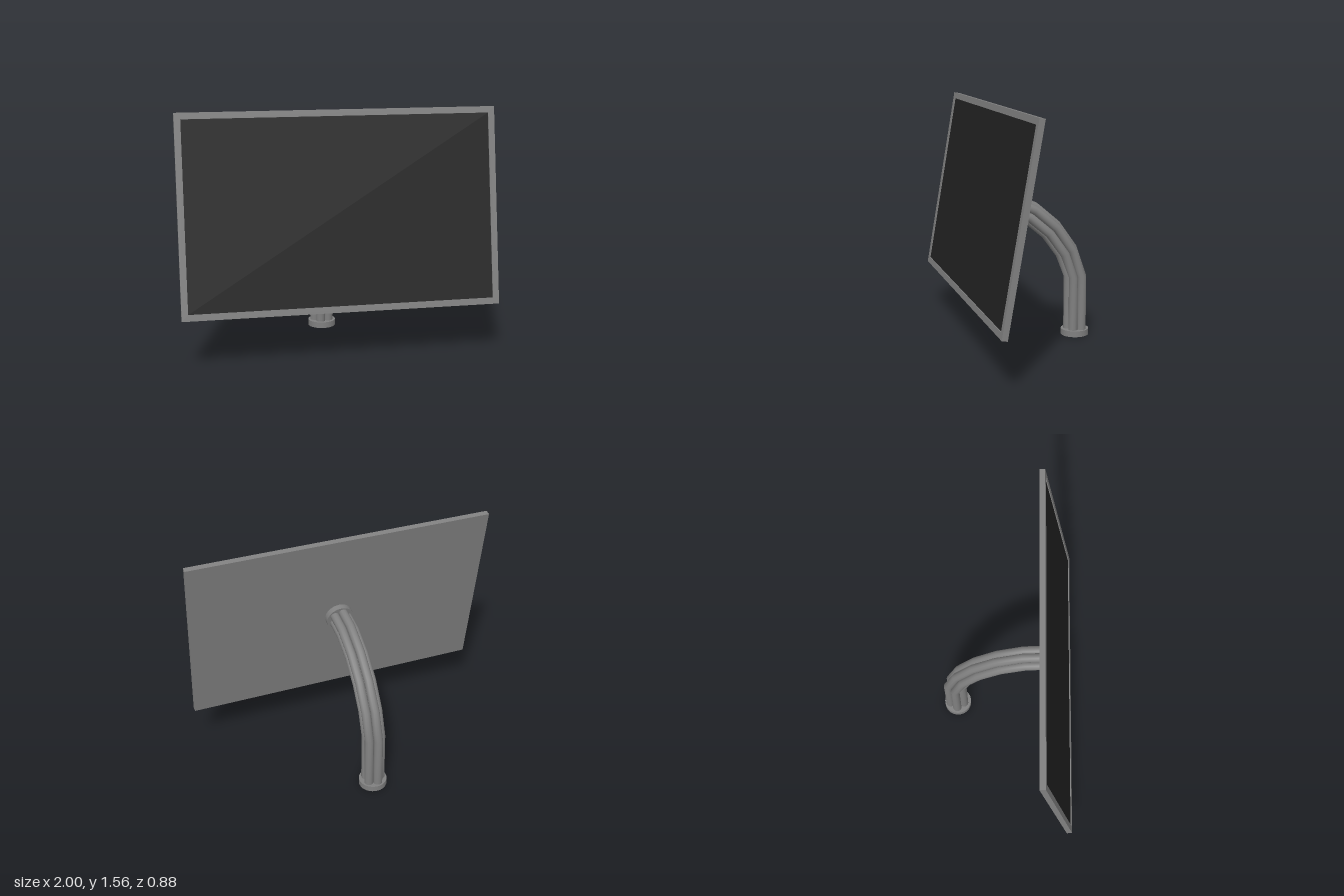
import * as THREE from 'three';

const DEG = Math.PI / 180;
const grey = new THREE.MeshStandardMaterial({ color: 0x808080 });
const black = new THREE.MeshStandardMaterial({ color: 0x222222 });

function add(parent, name, geometry, material, x = 0, y = 0, z = 0) {
  const mesh = new THREE.Mesh(geometry, material);
  mesh.name = name;
  mesh.position.set(x, y, z);
  parent.add(mesh);
  return mesh;
}

// Arm centre line: z, y and lean of the path from vertical towards the front
const ARM = [
  [-0.352, 0.02, 0], [-0.352, 0.4, 2], [-0.29, 0.57, 23], [-0.181, 0.722, 40],
  [-0.042, 0.84, 55], [0.12, 0.917, 70], [0.275, 0.935, 81],
];

// One strand swept along the arm, offset from the centre line by (ox, on)
function strandGeometry(ox, on, radius, sides = 12) {
  const positions = [], index = [];
  ARM.forEach(([z, y, lean], i) => {
    const c = Math.cos(lean * DEG), s = Math.sin(lean * DEG);
    for (let j = 0; j < sides; j++) {
      const a = (j / sides) * Math.PI * 2;
      const n = on + radius * Math.sin(a);
      positions.push(ox + radius * Math.cos(a), y - n * s, z + n * c);
      if (i === 0) continue;
      const k = (j + 1) % sides, lo = (i - 1) * sides, hi = i * sides;
      index.push(lo + j, hi + j, lo + k, lo + k, hi + j, hi + k);
    }
  });
  const g = new THREE.BufferGeometry();
  g.setAttribute('position', new THREE.Float32BufferAttribute(positions, 3));
  g.setIndex(index);
  g.computeVertexNormals();
  return g;
}

function rectangle(Type, w, h) {
  return new Type([[-1, -1], [1, -1], [1, 1], [-1, 1]]
    .map(([x, y]) => new THREE.Vector2(x * w / 2, y * h / 2)));
}

export function createModel() {
  const model = new THREE.Group();
  model.name = 'monitorOnArm';

  // Foot
  add(model, 'footFlange', new THREE.CylinderGeometry(0.0925, 0.0925, 0.04, 32), grey, 0, 0.02, -0.348);

  // Arm made of five bundled strands, one of them pointing to the right
  const arm = new THREE.Group();
  arm.name = 'arm';
  model.add(arm);
  for (let i = 0; i < 5; i++) {
    const a = Math.PI + (i * Math.PI * 2) / 5;
    const strand = strandGeometry(0.05 * Math.cos(a), 0.05 * Math.sin(a), 0.03);
    add(arm, 'armStrand', strand, grey);
  }

  // Tilted display with its mounting flange
  const display = new THREE.Group();
  display.name = 'display';
  display.position.set(0, 0.9385, 0.315);
  display.rotation.x = -10 * DEG;
  model.add(display);
  add(display, 'backPanel', new THREE.BoxGeometry(2, 1.25, 0.028), grey, 0, 0, -0.004);
  const bezel = rectangle(THREE.Shape, 2, 1.25);
  bezel.holes.push(rectangle(THREE.Path, 1.92, 1.17));
  add(display, 'bezel', new THREE.ExtrudeGeometry(bezel, { depth: 0.008, bevelEnabled: false }), grey, 0, 0, 0.01);
  add(display, 'screen', new THREE.PlaneGeometry(1.92, 1.17), black, 0, 0, 0.012);
  const flange = add(display, 'mountFlange', new THREE.CylinderGeometry(0.0925, 0.0925, 0.04, 32), grey, 0, 0, -0.037);
  flange.rotation.x = Math.PI / 2;

  return model;
}
